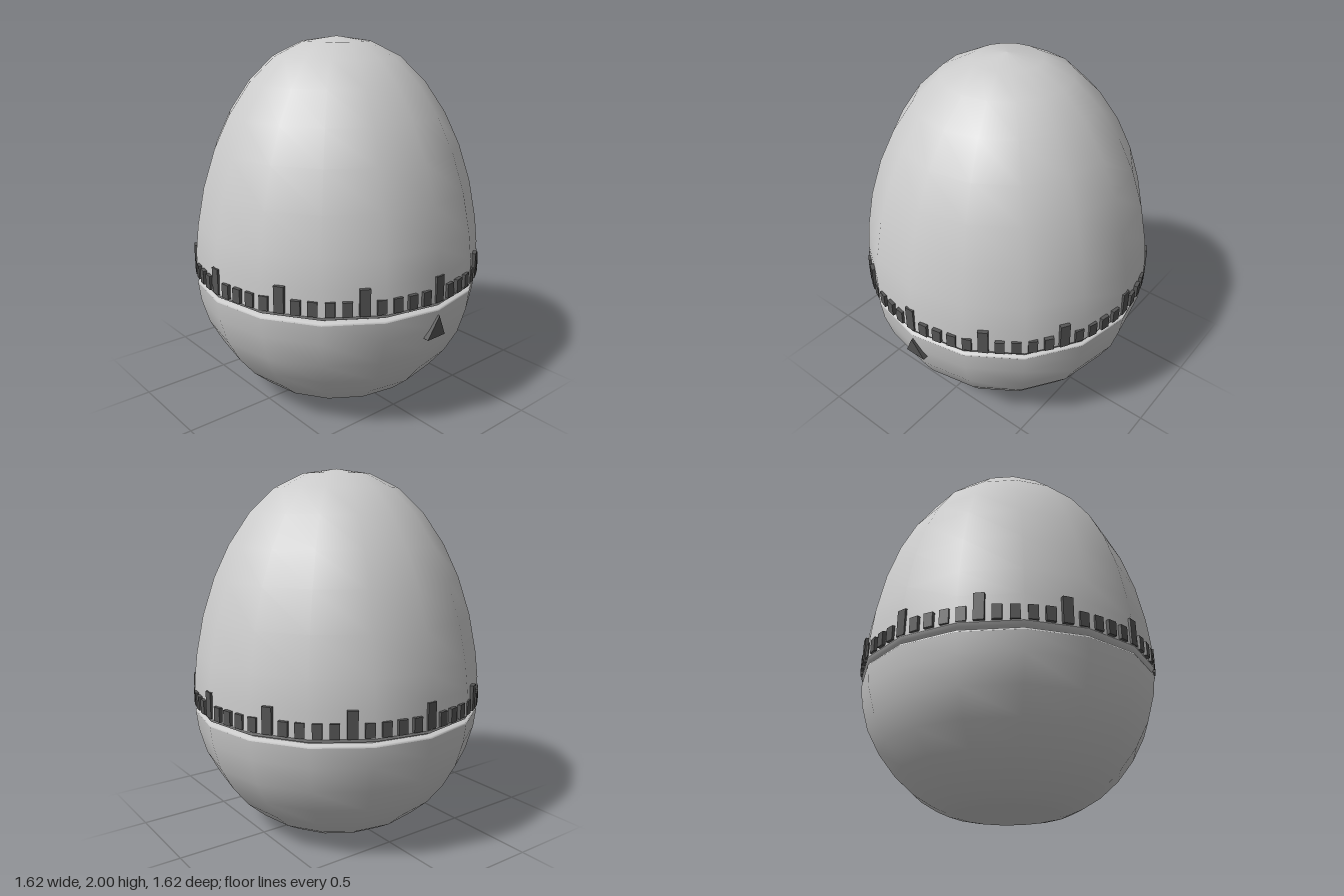
import * as THREE from 'three';

const grey = new THREE.MeshStandardMaterial({ color: 0xcccccc, side: THREE.DoubleSide });
const dark = new THREE.MeshStandardMaterial({ color: 0x555555 });

// Sixteen-sided smooth shell turned from a profile of [radius, height]
function turned(name, profile) {
  const points = profile.map(([r, y]) => new THREE.Vector2(r, y));
  const mesh = new THREE.Mesh(new THREE.LatheGeometry(points, 16), grey);
  mesh.name = name;
  return mesh;
}

export function createModel() {
  const model = new THREE.Group();
  model.name = 'eggTimer';

  // Rounded base with a flat foot
  model.add(turned('base', [
    [0, 0.005], [0.27, 0.005], [0.32, 0.015], [0.39, 0.045], [0.49, 0.105], [0.59, 0.195],
    [0.68, 0.31], [0.75, 0.44], [0.79, 0.58], [0.803, 0.685],
  ]));
  model.add(turned('baseRim', [[0.803, 0.685], [0.8, 0.695], [0.77, 0.7]]));

  // Recessed seam between the halves
  model.add(turned('seam', [[0.77, 0.698], [0.77, 0.71]]));

  // Turning dome
  model.add(turned('domeRim', [[0.77, 0.708], [0.795, 0.712], [0.805, 0.73]]));
  model.add(turned('dome', [
    [0.805, 0.73], [0.801, 0.87], [0.785, 1.01], [0.743, 1.22], [0.676, 1.425],
    [0.592, 1.6], [0.478, 1.767], [0.342, 1.897], [0.185, 1.974], [0, 2],
  ]));

  // Sixty minute marks, every fifth one taller
  const marks = new THREE.Group();
  marks.name = 'minuteMarks';
  for (let i = 0; i < 60; i++) {
    const major = i % 5 === 0;
    const height = major ? 0.138 : 0.075;
    const mark = new THREE.Mesh(new THREE.BoxGeometry(major ? 0.053 : 0.049, height, 0.03), dark);
    mark.name = major ? 'majorMark' : 'minorMark';
    const angle = (i / 60) * Math.PI * 2;
    mark.position.set(Math.sin(angle) * 0.793, 0.735 + height / 2, Math.cos(angle) * 0.793);
    mark.rotation.y = angle;
    marks.add(mark);
  }
  model.add(marks);

  // Triangular pointer on the left side of the base
  const triangle = new THREE.Shape([
    new THREE.Vector2(-0.063, -0.063), new THREE.Vector2(0.063, -0.063), new THREE.Vector2(0, 0.063),
  ]);
  const pointer = new THREE.Mesh(
    new THREE.ExtrudeGeometry(triangle, { depth: 0.04, bevelEnabled: false }).translate(0, 0, -0.03), dark);
  pointer.name = 'pointer';
  pointer.position.set(0.793, 0.598, 0);
  pointer.rotation.set(0.12, Math.PI / 2, 0, 'YXZ');
  model.add(pointer);

  return model;
}
